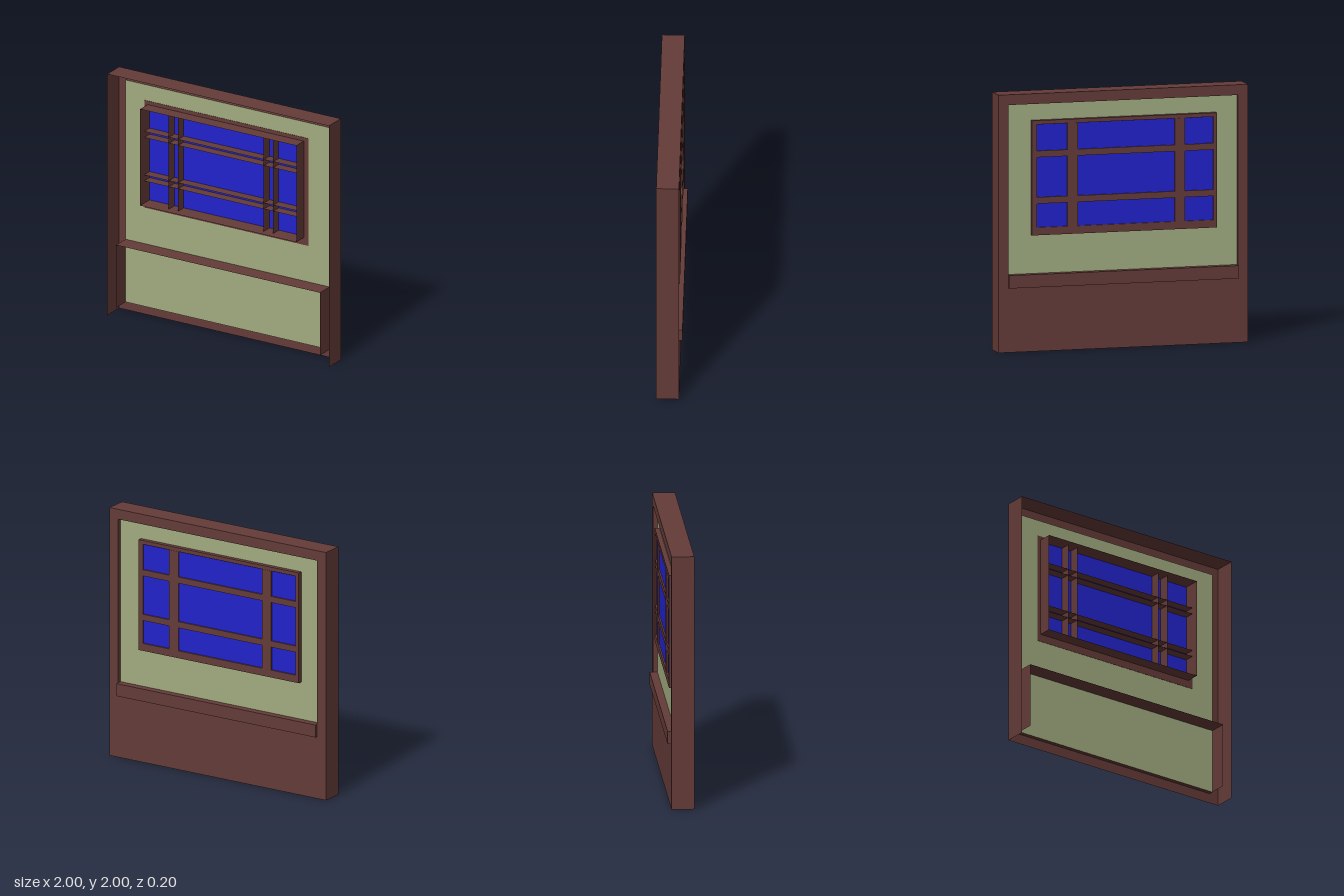
import * as THREE from 'three';

const material = (color) => new THREE.MeshStandardMaterial({ color, side: THREE.DoubleSide });

// Rectangle outline [x0, x1, y0, y1] as a shape, optionally with a rectangular hole
function rect([x0, x1, y0, y1], hole) {
  const trace = (path) => path.moveTo(x0, y0).lineTo(x1, y0).lineTo(x1, y1).lineTo(x0, y1).closePath();
  const shape = new THREE.Shape();
  trace(shape);
  if (hole) {
    const [a, b, c, d] = hole;
    shape.holes.push(new THREE.Path().moveTo(a, c).lineTo(a, d).lineTo(b, d).lineTo(b, c).closePath());
  }
  return shape;
}

export function createModel() {
  const model = new THREE.Group();
  model.name = 'wallPanel';
  const brown = material(0x643b38);
  const green = material(0xa1ac80);
  const blue = material(0x2222cc);

  const add = (parent, name, geometry, mat = brown) => {
    const mesh = new THREE.Mesh(geometry, mat);
    mesh.name = name;
    parent.add(mesh);
    return mesh;
  };
  const group = (name) => {
    const g = new THREE.Group();
    g.name = name;
    model.add(g);
    return g;
  };

  // Flat sheet facing the back
  const sheet = (parent, name, outer, z, mat, hole) =>
    add(parent, name, new THREE.ShapeGeometry(rect(outer, hole)).rotateY(0).translate(0, 0, z), mat);
  // Thin walls running from z0 to z1 along chosen sides of a rectangle
  const walls = (parent, [x0, x1, y0, y1], z0, z1, sides) => {
    const d = z1 - z0, zm = (z0 + z1) / 2, xm = (x0 + x1) / 2, ym = (y0 + y1) / 2;
    for (const side of sides) {
      const upright = side === 'left' || side === 'right';
      const g = upright
        ? new THREE.PlaneGeometry(d, y1 - y0).rotateY(side === 'left' ? Math.PI / 2 : -Math.PI / 2)
        : new THREE.PlaneGeometry(x1 - x0, d).rotateX(side === 'top' ? -Math.PI / 2 : Math.PI / 2);
      const x = upright ? (side === 'left' ? x1 : x0) : xm;
      const y = upright ? ym : (side === 'top' ? y1 : y0);
      add(parent, side + 'Wall', g.translate(x, y, zm));
    }
  };
  const all = ['left', 'right', 'top', 'bottom'];

  const backZ = -0.075, panelZ = -0.04, frontZ = 0.1;
  const outer = [-1, 1, 0, 2];
  const inner = [-0.92, 0.92, 0.08, 1.92];
  const rim = [-0.75, 0.73, 0.9, 1.79];
  const pane = [-0.72, 0.69, 0.96, 1.76];

  // Outer frame: hollow, open at the front and underneath
  const frame = group('outerFrame');
  sheet(frame, 'frameFace', outer, backZ, brown, inner);
  walls(frame, outer, backZ, frontZ, ['left', 'right', 'top']);
  walls(frame, inner, backZ, panelZ, all);

  // Plaster panel with the window opening
  sheet(model, 'plasterPanel', inner, panelZ, green, pane);

  // Lower boarding and its rail
  const boarding = group('lowerBoarding');
  const low = [-0.92, 0.92, 0.08, 0.6];
  sheet(boarding, 'boardingFace', low, backZ, brown);
  walls(boarding, low, backZ, frontZ, ['left', 'right', 'top']);
  add(boarding, 'rail', new THREE.BoxGeometry(1.84, 0.1, 0.025).translate(0, 0.55, -0.0875));

  // Window: rim, deep casing, glass and hollow glazing bars
  const windowGroup = group('window');
  add(windowGroup, 'windowRim', new THREE.ExtrudeGeometry(rect(rim, pane),
    { depth: 0.039, bevelEnabled: false }).translate(0, 0, -0.076));
  walls(windowGroup, pane, -0.078, 0.072, all);
  sheet(windowGroup, 'glass', pane, -0.065, blue);

  for (const [x0, x1] of [[-0.495, -0.412], [0.362, 0.446]]) {
    const bar = [x0, x1, pane[2], pane[3]];
    sheet(windowGroup, 'uprightBar', bar, -0.078, brown);
    walls(windowGroup, bar, -0.078, 0.02, ['left', 'right']);
  }
  for (const [y0, y1] of [[1.145, 1.195], [1.505, 1.555]]) {
    const bar = [pane[0], pane[1], y0, y1];
    sheet(windowGroup, 'crossBar', bar, -0.077, brown);
    walls(windowGroup, bar, -0.077, 0.015, ['top', 'bottom']);
  }

  return model;
}
